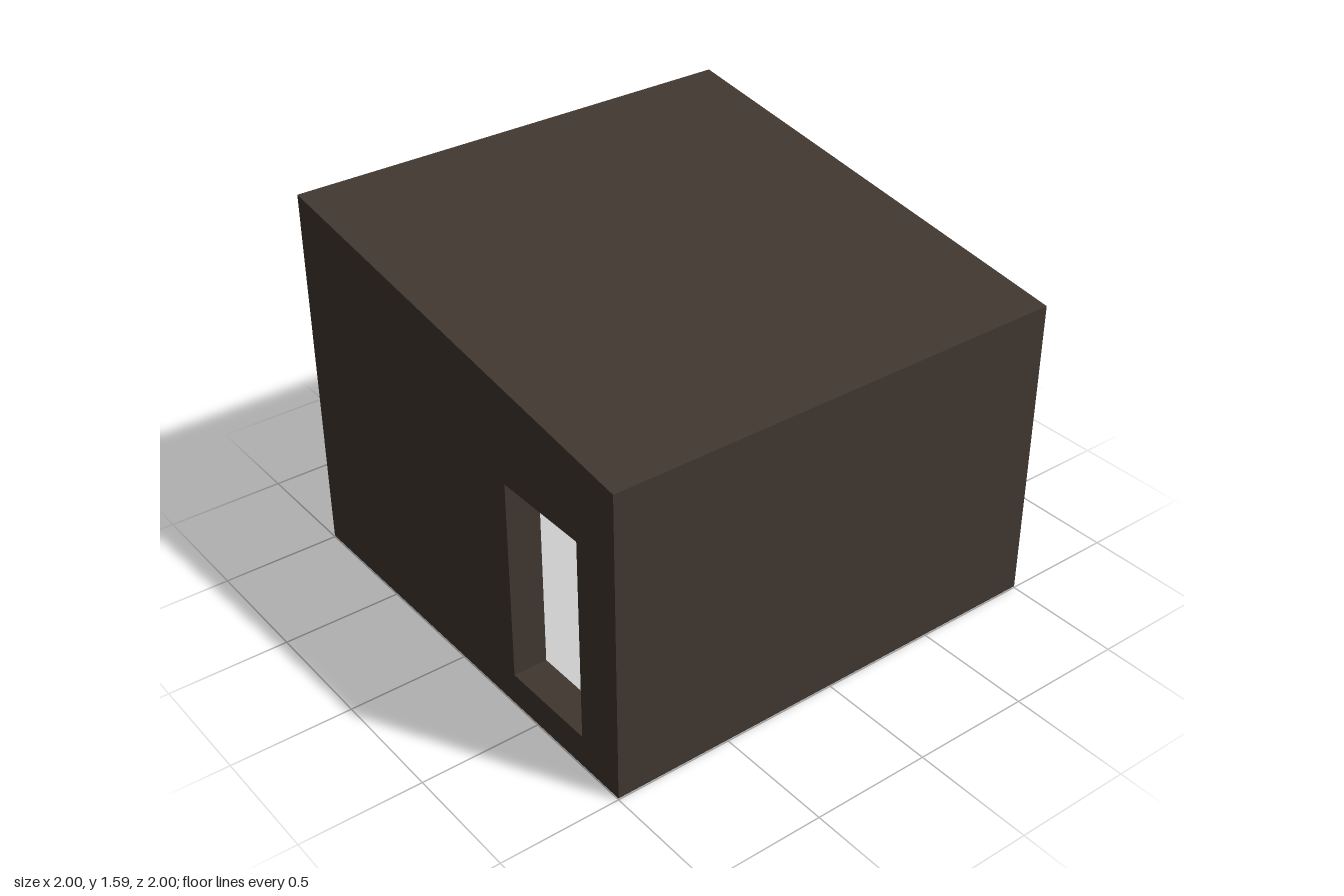
import * as THREE from 'three';

const T = 0.143;      // wall and roof thickness
const BASE = 0.006;   // underside of the walls, just above the floor's underside
const IN = 1 - T;     // inner half width
const roofY = (x) => 1.45 - 0.143 * x; // sloping roof line

export function createModel() {
  const group = new THREE.Group();
  group.name = 'hut';
  const brown = new THREE.MeshStandardMaterial({ color: 0x40372f });
  brown.name = 'dark brown';
  const grey = new THREE.MeshStandardMaterial({ color: 0xcfcfcf });
  grey.name = 'light grey';

  const add = (name, geometry, material, y, z) => {
    const mesh = new THREE.Mesh(geometry, material);
    mesh.name = name;
    mesh.position.set(0, y, z);
    group.add(mesh);
  };
  const polygon = (points) => points.map(([x, y]) => new THREE.Vector2(x, y));
  const extrude = (shape, depth) =>
    new THREE.ExtrudeGeometry(shape, { depth, bevelEnabled: false });

  // End walls with a slanted top and a doorway
  const endWall = (x0, x1, y0, y1) => {
    const shape = new THREE.Shape(polygon([
      [-1, BASE], [1, BASE], [1, roofY(1)], [-1, roofY(-1)],
    ]));
    shape.holes.push(new THREE.Path(polygon([[x0, y0], [x0, y1], [x1, y1], [x1, y0]])));
    return extrude(shape, T);
  };
  add('frontWall', endWall(0.357, 0.786, T, 1.0), brown, 0, IN);
  add('backWall', endWall(-0.857, -0.429, T, 1.143), brown, 0, -1);

  // Side walls and sloping roof in one arch-like section
  const section = new THREE.Shape(polygon([
    [-1, BASE], [-IN, BASE], [-IN, roofY(-IN) - T], [IN, roofY(IN) - T],
    [IN, BASE], [1, BASE], [1, roofY(1)], [-1, roofY(-1)],
  ]));
  add('sideWallsAndRoof', extrude(section, 2 * IN), brown, 0, -IN);

  // Floor slab between the walls
  add('floor', new THREE.BoxGeometry(2 * IN, 0.056, 2 * IN), grey, 0.028, 0);

  return group;
}
